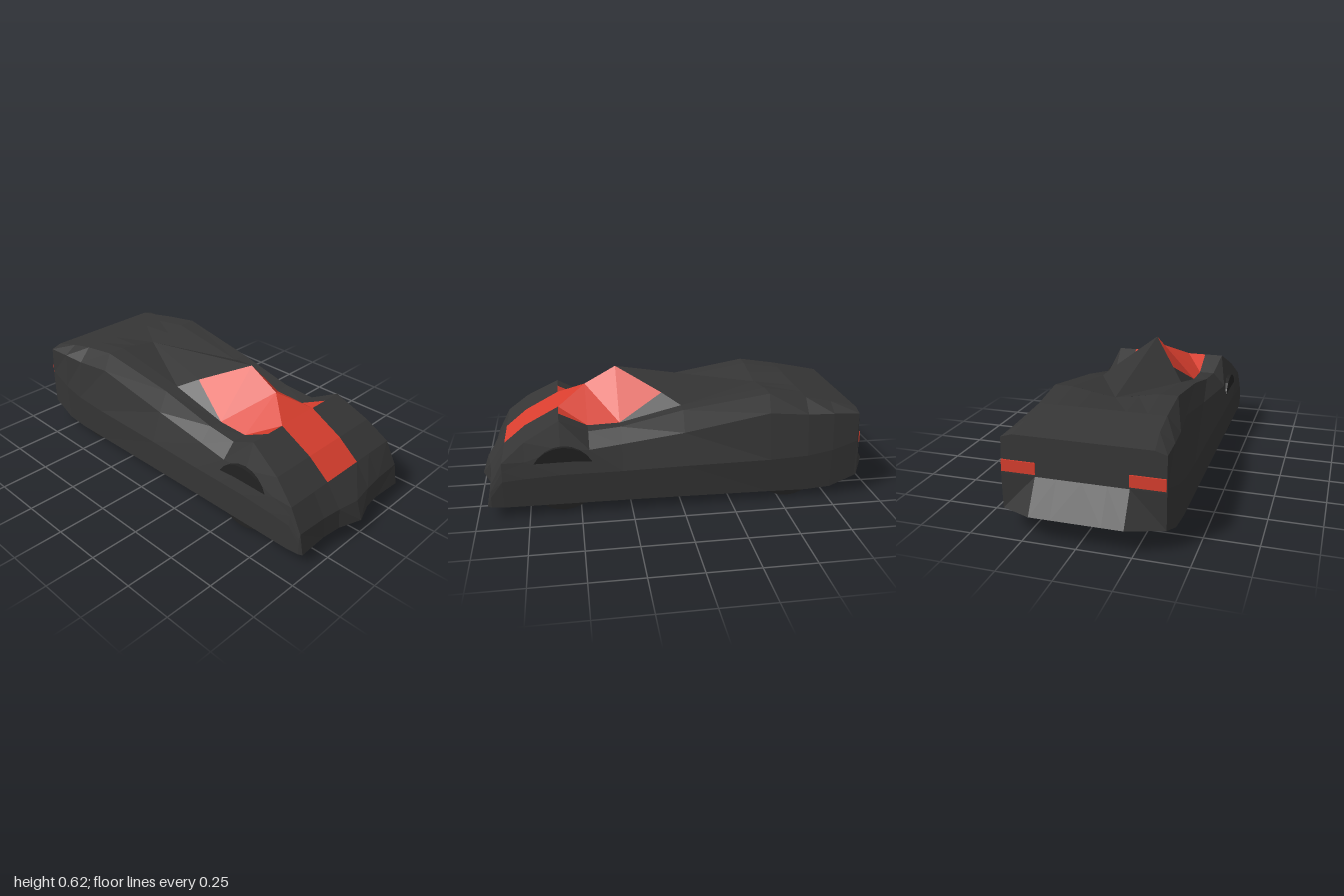
import * as THREE from 'three';

const dark = new THREE.MeshStandardMaterial({ color: 0x353535, flatShading: true });
const tyre = new THREE.MeshStandardMaterial({ color: 0x222222, flatShading: true });
const red = new THREE.MeshStandardMaterial({ color: 0xd83e2e, flatShading: true });

// Mesh from triangles on the +x half, mirrored to the other side
function mirrored(name, material, tris) {
  const pos = [];
  const area = new THREE.Triangle();
  for (const [a, b, c] of tris) {
    area.set(new THREE.Vector3(...a), new THREE.Vector3(...b), new THREE.Vector3(...c));
    if (area.getArea() < 1e-7) continue;
    pos.push(...a, ...b, ...c);
    for (const p of [a, c, b]) pos.push(-p[0], p[1], p[2]);
  }
  const geo = new THREE.BufferGeometry();
  geo.setAttribute('position', new THREE.Float32BufferAttribute(pos, 3));
  geo.computeVertexNormals();
  const mesh = new THREE.Mesh(geo, material);
  mesh.name = name;
  return mesh;
}

const quad = (a, b, c, d) => [[a, b, c], [a, c, d]];

// Half section: three points on the deck, four down the flank, two underneath
function section(z, deck, flank, floor) {
  const [yc, ya, yi] = Array.isArray(deck) ? deck : [deck, deck, deck];
  return [
    [0, yc, z], [0.115, ya, z], [0.215, yi, z],
    ...flank.map(([x, y]) => [x, y, z]),
    [0.215, floor, z], [0, floor, z],
  ];
}

// Pointed lip under the nose
function noseLip() {
  const c = [0, 0.07, 1], i = [0.215, 0.063, 0.945], e = [0.375, 0.06, 0.95];
  return [c, [0.115, 0.066, 0.957], i, e, e, e, e, i, c];
}

// Rear lip, swept forward at the corners
function rearLip() {
  const c = [0, 0.12, -1], i = [0.215, 0.12, -1], e = [0.375, 0.1, -0.91];
  return [c, [0.115, 0.12, -1], i, e, e, e, e, i, c];
}

function bodySections() {
  const bumper = section(0.93, 0.167, [[0.375, 0.165], [0.38, 0.14], [0.383, 0.11], [0.383, 0.058]], 0.058);
  bumper[0][2] = 0.967;
  bumper[1][2] = 0.948;
  bumper[2][2] = 0.937;
  return [
    noseLip(),
    bumper,
    section(0.87, 0.28, [[0.373, 0.28], [0.38, 0.24], [0.388, 0.19], [0.387, 0.055]], 0.055),
    section(0.76, 0.37, [[0.345, 0.37], [0.372, 0.28], [0.389, 0.2], [0.387, 0.054]], 0.054),
    section(0.59, 0.46, [[0.315, 0.46], [0.36, 0.33], [0.39, 0.21], [0.387, 0.053]], 0.053),
    section(0.45, 0.39, [[0.295, 0.39], [0.36, 0.32], [0.39, 0.21], [0.387, 0.052]], 0.052),
    section(0.29, 0.395, [[0.288, 0.402], [0.35, 0.335], [0.39, 0.21], [0.387, 0.051]], 0.051),
    section(-0.02, 0.47, [[0.29, 0.472], [0.338, 0.37], [0.39, 0.215], [0.387, 0.048]], 0.048),
    section(-0.45, [0.504, 0.523, 0.54], [[0.305, 0.54], [0.345, 0.45], [0.393, 0.22], [0.387, 0.042]], 0.042),
    section(-0.64, 0.51, [[0.303, 0.51], [0.365, 0.44], [0.394, 0.23], [0.386, 0.038]], 0.042),
    section(-0.77, 0.483, [[0.305, 0.483], [0.372, 0.44], [0.388, 0.25], [0.382, 0.045]], 0.045),
    section(-0.9, 0.452, [[0.32, 0.452], [0.374, 0.435], [0.378, 0.29], [0.375, 0.095]], 0.087),
    section(-0.91, 0.27, [[0.376, 0.27], [0.376, 0.25], [0.376, 0.2], [0.375, 0.1]], 0.09),
    rearLip(),
  ];
}

export function createModel() {
  const car = new THREE.Group();
  car.name = 'car';

  // Body shell, with the bonnet stripe kept apart and the cockpit left open
  const S = bodySections();
  const shell = [], stripe = [];
  for (let s = 0; s < S.length - 1; s++) {
    for (let k = 0; k < 8; k++) {
      if (s >= 4 && s < 8 && k < 2) continue;
      const isStripe = k === 0 && (s === 2 || s === 3);
      (isStripe ? stripe : shell).push(...quad(S[s][k], S[s][k + 1], S[s + 1][k + 1], S[s + 1][k]));
    }
  }

  // Canopy landmarks
  const peak = [0, 0.625, 0.29], tip = [0, 0.537, 0.45], wing = [0.15, 0.52, 0.07];
  const stripeEnd = S[4][1], corner = S[4][2], sillFront = S[5][2], sillMid = S[6][2];
  const sillRear = S[7][2], spineEnd = S[8][0], deckInner = S[8][2];

  stripe.push([S[4][0], stripeEnd, tip]);
  // Recess between the spine and the rear shoulders
  shell.push([spineEnd, sillRear, deckInner]);

  car.add(mirrored('bodyShell', dark, shell));
  car.add(mirrored('bonnetStripe', red, stripe));
  car.add(mirrored('canopyGlass', red, [
    [tip, stripeEnd, sillFront],
    [stripeEnd, corner, sillFront],
    ...quad(tip, sillFront, sillMid, peak),
    [peak, sillMid, wing],
  ]));
  car.add(mirrored('canopySpine', dark, [
    [peak, wing, spineEnd],
    [wing, sillRear, spineEnd],
    [wing, sillMid, sillRear],
  ]));

  // Wheels and tail lights on both sides
  const wheels = [
    ['frontWheel', 0.3125, 0.18, 0.58, 0.125],
    ['rearWheel', 0.2925, 0.165, -0.55, 0.135],
  ];
  for (const side of [-1, 1]) {
    const tag = side > 0 ? 'Left' : 'Right';
    for (const [name, x, y, z, width] of wheels) {
      const wheel = new THREE.Mesh(new THREE.CylinderGeometry(0.165, 0.165, width, 24), tyre);
      wheel.name = name + tag;
      wheel.rotation.z = Math.PI / 2;
      wheel.position.set(side * x, y, z);
      car.add(wheel);
    }
    const light = new THREE.Mesh(new THREE.BoxGeometry(0.16, 0.055, 0.016), red);
    light.name = 'tailLight' + tag;
    light.position.set(side * 0.293, 0.307, -0.905);
    car.add(light);
  }
  return car;
}
